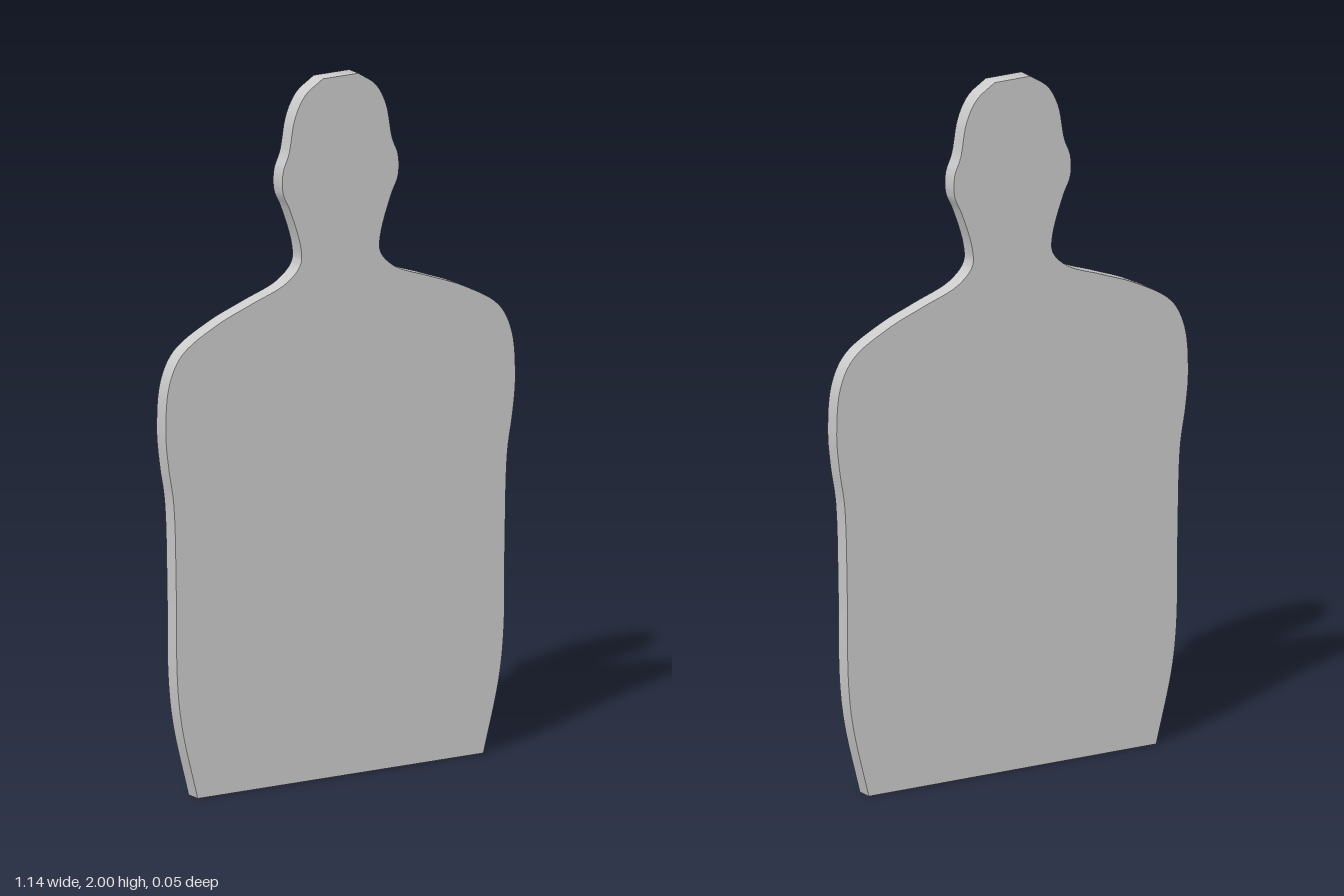
import * as THREE from 'three';
import { toCreasedNormals } from 'three/addons/utils/BufferGeometryUtils.js';

const THICKNESS = 0.048;

// Half outline of the silhouette, from the base up to the crown
const PROFILE = [
  [0.465, 0], [0.515, 0.205], [0.531, 0.34], [0.535, 0.6], [0.543, 0.85],
  [0.56, 0.96], [0.569, 1.06], [0.557, 1.195], [0.515, 1.275], [0.4, 1.345],
  [0.29, 1.388], [0.175, 1.433], [0.13, 1.48], [0.13, 1.53], [0.165, 1.64],
  [0.187, 1.69], [0.187, 1.75], [0.168, 1.8], [0.148, 1.9], [0.115, 1.96],
  [0.058, 2],
];

export function createModel() {
  const group = new THREE.Group();

  // Smooth curve through one side, mirrored for the other
  const curve = new THREE.CatmullRomCurve3(
    PROFILE.map(([x, y]) => new THREE.Vector3(x, y, 0)), false, 'centripetal');
  const side = curve.getPoints(120).map((p) => new THREE.Vector2(p.x, p.y));
  const mirrored = side.map((p) => new THREE.Vector2(-p.x, p.y)).reverse();
  const outline = new THREE.Shape([...side, ...mirrored]);

  // Flat board with sharp face edges and smoothly shaded rim
  const board = new THREE.ExtrudeGeometry(outline, { depth: THICKNESS, bevelEnabled: false });
  board.translate(0, 0, -THICKNESS / 2);
  const mesh = new THREE.Mesh(
    toCreasedNormals(board, 0.6),
    new THREE.MeshStandardMaterial({ color: 0xcccccc }));
  mesh.name = 'silhouetteBoard';
  group.add(mesh);

  return group;
}
